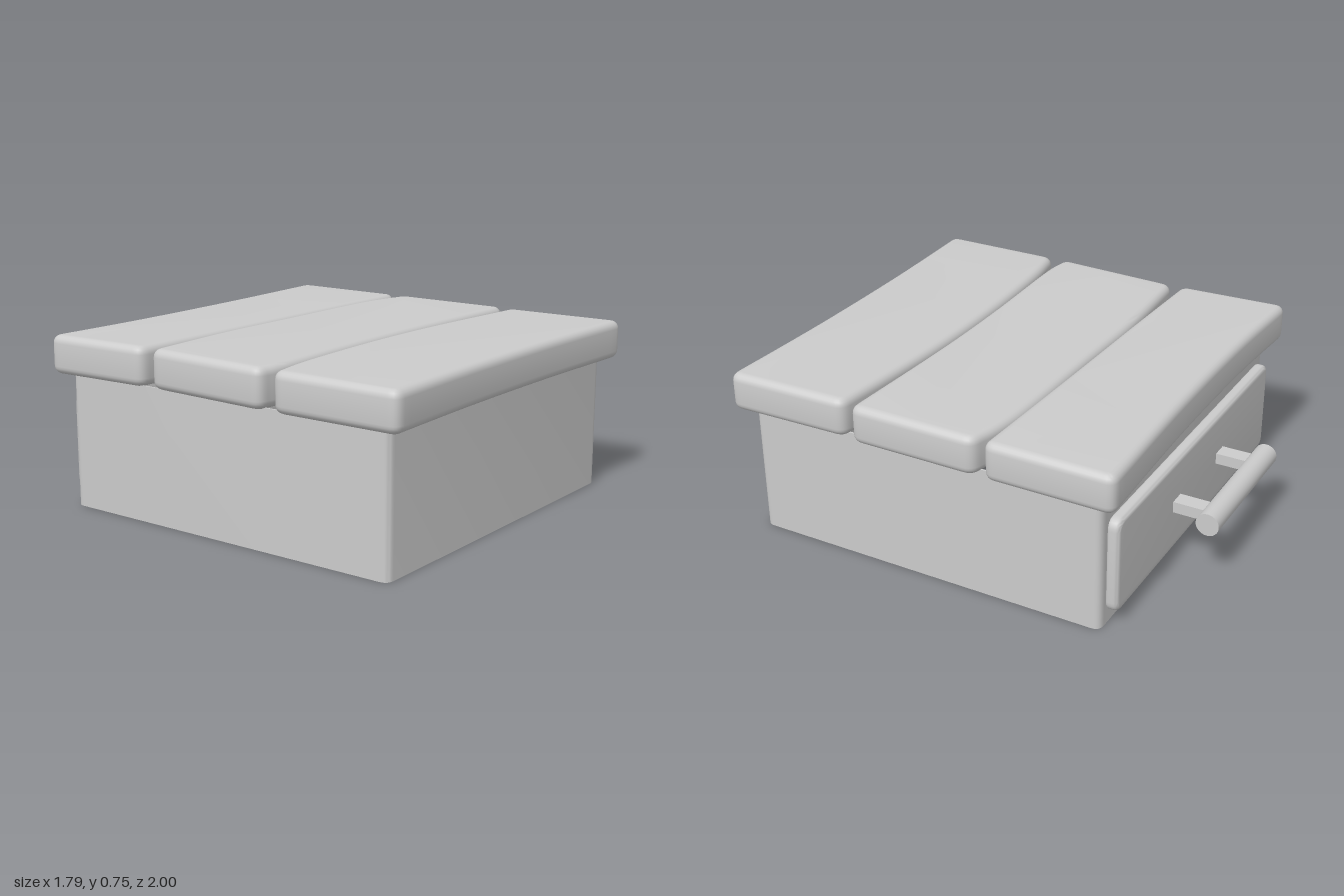
import * as THREE from 'three';
import { toCreasedNormals } from 'three/addons/utils/BufferGeometryUtils.js';

const material = new THREE.MeshStandardMaterial({ color: 0xcccccc, side: THREE.DoubleSide });

function addMesh(parent, name, geometry, x = 0, y = 0, z = 0) {
  const mesh = new THREE.Mesh(geometry, material);
  mesh.name = name;
  mesh.position.set(x, y, z);
  parent.add(mesh);
  return mesh;
}

// Closed outline from sides (lists of points running corner to corner) with rounded corners
function roundedOutline(sides, r) {
  const shape = new THREE.Shape();
  const trimmed = sides.map((side) => {
    const pts = side.map(([x, y]) => new THREE.Vector2(x, y));
    const n = pts.length - 1;
    const toward = (a, b) => a.clone().add(b.clone().sub(a).setLength(r));
    const start = toward(pts[0], pts[1]);
    const end = toward(pts[n], pts[n - 1]);
    return { start, mid: pts.slice(1, n), end, corner: pts[n] };
  });
  shape.moveTo(trimmed[0].start.x, trimmed[0].start.y);
  trimmed.forEach(({ mid, end, corner }, i) => {
    if (mid.length) shape.splineThru([...mid, end]);
    else shape.lineTo(end.x, end.y);
    const next = trimmed[(i + 1) % trimmed.length].start;
    shape.quadraticCurveTo(corner.x, corner.y, next.x, next.y);
  });
  return shape;
}

function roundedRect(x0, y0, x1, y1, r) {
  const c = [[x0, y0], [x1, y0], [x1, y1], [x0, y1]];
  return roundedOutline(c.map((p, i) => [p, c[(i + 1) % 4]]), r);
}

// Slab with rounded edges that stays inside its outline, from z = 0 to z = depth
function slab(shape, depth, bevel) {
  const geometry = new THREE.ExtrudeGeometry(shape, {
    depth: depth - 2 * bevel, curveSegments: 6, bevelEnabled: true,
    bevelThickness: bevel, bevelSize: bevel, bevelOffset: -bevel, bevelSegments: 5,
  });
  geometry.translate(0, 0, bevel);
  return toCreasedNormals(geometry, 0.7);
}

// Plank edges as [x, z] from left to right of the plan
const planks = [
  {
    back: [[-0.9, -0.8], [-0.4, -0.775], [0.2, -0.775], [0.895, -0.8]],
    front: [[-0.875, -0.285], [-0.4, -0.268], [0.2, -0.252], [0.895, -0.23]],
  },
  {
    back: [[-0.87, -0.24], [-0.4, -0.265], [0, -0.258], [0.6, -0.245], [0.895, -0.19]],
    front: [[-0.9, 0.36], [-0.7, 0.375], [-0.2, 0.36], [0.25, 0.362], [0.895, 0.39]],
  },
  {
    back: [[-0.9, 0.42], [-0.65, 0.385], [-0.2, 0.365], [0.25, 0.375], [0.88, 0.43]],
    front: [[-0.9, 1], [-0.3, 0.98], [0.3, 0.98], [0.895, 1]],
  },
];

export function createModel() {
  const model = new THREE.Group();
  model.name = 'drawerCrate';

  // Hollow body, open below, with softened upright corners
  const wall = 0.008;
  const plan = roundedRect(-0.85, -0.93, 0.83, 0.72, 0.04);
  plan.holes.push(roundedRect(-0.85 + wall, -0.93 + wall, 0.83 - wall, 0.72 - wall, 0.035));
  const bodyGeometry = new THREE.ExtrudeGeometry(plan, { depth: 0.59, bevelEnabled: false, curveSegments: 6 });
  addMesh(model, 'body', toCreasedNormals(bodyGeometry.rotateX(-Math.PI / 2), 0.7));

  // Uneven top planks
  const top = new THREE.Group();
  top.name = 'topPlanks';
  model.add(top);
  planks.forEach(({ back, front }, i) => {
    const flip = ([x, z]) => [x, -z];
    const b = back.map(flip).reverse();
    const f = front.map(flip);
    const sides = [f, [f[f.length - 1], b[0]], b, [b[b.length - 1], f[0]]];
    const geometry = slab(roundedOutline(sides, 0.05), 0.17, 0.035).rotateX(-Math.PI / 2);
    addMesh(top, `plank${i + 1}`, geometry, 0, 0.585, 0);
  });

  // Drawer front on the back wall
  const drawer = new THREE.Group();
  drawer.name = 'drawer';
  model.add(drawer);
  addMesh(drawer, 'drawerFront', slab(roundedRect(-0.8, 0.06, 0.78, 0.49, 0.05), 0.06, 0.022), 0, 0, -0.77);

  // Handle: bar on two posts
  for (const x of [-0.238, 0.222]) {
    addMesh(drawer, 'handlePost', new THREE.BoxGeometry(0.075, 0.05, 0.19), x, 0.28, -0.845);
  }
  const bar = new THREE.CylinderGeometry(0.051, 0.051, 0.66, 32).rotateZ(Math.PI / 2);
  addMesh(drawer, 'handleBar', bar, -0.01, 0.28, -0.949);

  return model;
}
